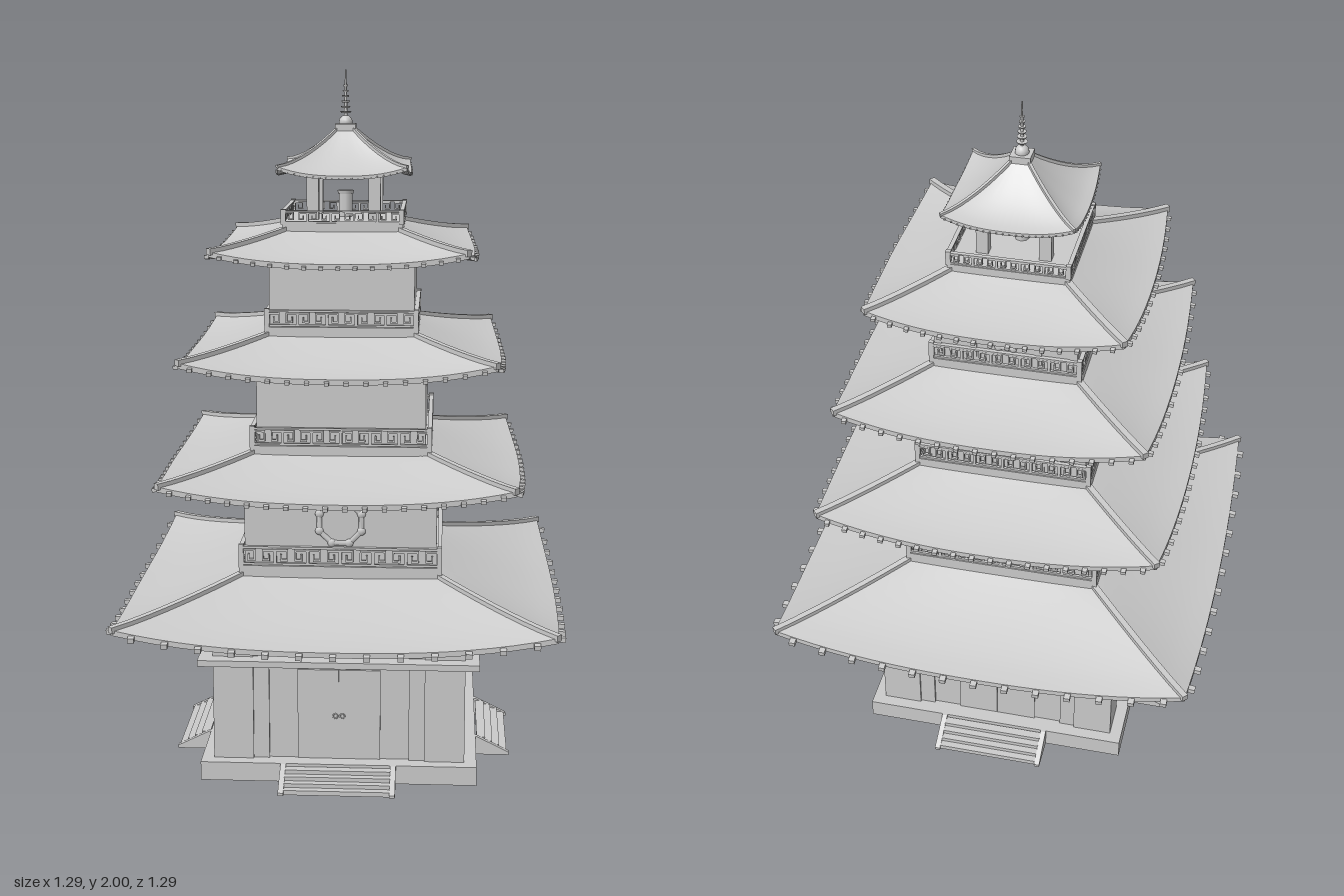
import * as THREE from 'three';
import { mergeGeometries, toCreasedNormals } from 'three/addons/utils/BufferGeometryUtils.js';

const mat = new THREE.MeshStandardMaterial({ color: 0xcccccc });

// Box given by its size and centre, optionally tilted about x
function box(w, h, d, x, y, z, tilt = 0) {
  return new THREE.BoxGeometry(w, h, d).rotateX(tilt).translate(x, y, z);
}

function part(parent, name, geos) {
  const mesh = new THREE.Mesh(geos.length > 1 ? mergeGeometries(geos) : geos[0], mat);
  mesh.name = name;
  parent.add(mesh);
  return mesh;
}

// Repeats a +z facing part on all four sides
function fourSides(parent, name, geos) {
  const group = new THREE.Group();
  group.name = name;
  const first = part(group, name + 'Side', geos);
  for (let k = 1; k < 4; k++) {
    const copy = first.clone();
    copy.rotation.y = k * Math.PI / 2;
    group.add(copy);
  }
  parent.add(group);
}

// Point on one roof slope: u runs along the eave, v from eave to top
function roofPoint(r, u, v) {
  const half = THREE.MathUtils.lerp(r.corner, r.top, v);
  const eaveY = r.low + r.lift * Math.abs(u) ** 2.6;
  return new THREE.Vector3(
    u * half,
    eaveY + (r.topY - eaveY) * v ** r.power,
    half + r.bulge * (1 - u * u) * (1 - v));
}

// Curved sheet with thickness, swept as closed cross-sections along the eave
function roofSlope(r) {
  const nu = 20, nv = 8, ring = 2 * (nv + 1), pos = [], idx = [];
  for (let i = 0; i <= nu; i++) {
    for (let j = 0; j < ring; j++) {
      const under = j > nv;
      const p = roofPoint(r, i / nu * 2 - 1, (under ? ring - 1 - j : j) / nv);
      pos.push(p.x, p.y - (under ? r.thick : 0), p.z);
    }
  }
  for (let i = 0; i < nu; i++) {
    for (let j = 0; j < ring; j++) {
      const a = i * ring + j, b = i * ring + (j + 1) % ring;
      idx.push(a, a + ring, b, b, a + ring, b + ring);
    }
  }
  const g = new THREE.BufferGeometry();
  g.setAttribute('position', new THREE.Float32BufferAttribute(pos, 3));
  g.setIndex(idx);
  return toCreasedNormals(g, 0.6);
}

// Square bar following the hip between two slopes
function hipRidge(r) {
  const geos = [], n = 8;
  for (let i = 0; i < n; i++) {
    const a = roofPoint(r, 1, i / n), b = roofPoint(r, 1, (i + 1) / n);
    const length = a.distanceTo(b) * 1.04;
    const turn = new THREE.Matrix4().lookAt(b, a, new THREE.Vector3(0, 1, 0));
    const c = a.add(b).multiplyScalar(0.5);
    geos.push(new THREE.BoxGeometry(r.ridge, r.ridge, length)
      .applyMatrix4(turn).translate(c.x, c.y, c.z));
  }
  return geos;
}

function addRoof(parent, r) {
  const roof = new THREE.Group();
  roof.name = 'roof';
  fourSides(roof, 'roofSlope', [roofSlope(r)]);
  fourSides(roof, 'hipRidge', hipRidge(r));
  // Short rafter tips peeping out under the eave
  const tips = [], s = r.rafter;
  for (let i = 0; i < r.count; i++) {
    const p = roofPoint(r, ((i + 0.5) / r.count * 2 - 1) * 0.98, 0);
    tips.push(box(s, s * 0.75, s * 2.4, p.x, p.y - r.thick * 0.65, p.z - s * 0.2, 0.12));
  }
  fourSides(roof, 'rafterTips', tips);
  parent.add(roof);
}

// Balustrade with a key-pattern fret
const FRET = [ // x, y, width, height inside one unit cell
  [0.05, 0.5, 0.1, 1], [0.4, 0.93, 0.8, 0.13], [0.75, 0.6, 0.1, 0.7],
  [0.55, 0.31, 0.45, 0.13], [0.38, 0.48, 0.1, 0.4], [0.53, 0.065, 0.94, 0.13],
];
function addRailing(parent, half, y0, y1, cells) {
  const h = y1 - y0, bar = h * 0.1, z = half - 0.006, geos = [];
  geos.push(box(half * 2, bar, 0.012, 0, y1 - bar / 2, z));
  geos.push(box(half * 2, bar, 0.012, 0, y0 + bar / 2, z));
  geos.push(box(0.014, h * 1.08, 0.014, half - 0.007, y0 + h * 0.54, z));
  const cw = (half * 2 - 0.02) / cells, fh = h - bar * 2.6;
  for (let i = 0; i < cells; i++) {
    for (const [fx, fy, fw, fhh] of FRET) {
      const x = -half + 0.01 + (i + (i % 2 ? 1 - fx : fx)) * cw;
      geos.push(box(fw * cw, fhh * fh, 0.008, x, y0 + bar * 1.3 + fy * fh, z));
    }
  }
  fourSides(parent, 'railing', geos);
}

// Flat octagonal window frame with beads at the corners
function roundWindow(parent, y, z, radius) {
  const geos = [new THREE.TorusGeometry(radius, radius * 0.13, 6, 8).rotateZ(Math.PI / 8)];
  for (let i = 0; i < 8; i++) {
    const a = (i + 0.5) * Math.PI / 4;
    geos.push(new THREE.SphereGeometry(radius * 0.19, 8, 6)
      .translate(Math.cos(a) * radius, Math.sin(a) * radius, 0));
  }
  const frame = part(parent, 'roundWindow', geos);
  frame.position.set(0, y, z);
  frame.scale.z = 0.5;
}

function addGroundFloor(parent) {
  const floor = new THREE.Group();
  floor.name = 'groundFloor';
  part(floor, 'platform', [box(0.79, 0.055, 0.79, 0, 0.0275, 0)]);
  // Open-backed steps between solid sloping cheeks
  const steps = [];
  for (let i = 0; i < 4; i++) {
    steps.push(box(0.3, 0.0135, 0.026, 0, 0.00675 + i * 0.0115, 0.475 - i * 0.021));
  }
  fourSides(floor, 'steps', steps);
  const cheek = new THREE.Shape(
    [[0.39, 0], [0.495, 0], [0.495, 0.008], [0.4, 0.055], [0.39, 0.055]]
      .map(p => new THREE.Vector2(...p)));
  fourSides(floor, 'stepCheeks', [-0.149, 0.165].map(x =>
    new THREE.ExtrudeGeometry(cheek, { depth: 0.016, bevelEnabled: false })
      .rotateY(-Math.PI / 2).translate(x, 0, 0)));
  // Walls, piers, beams and doors
  part(floor, 'walls', [box(0.69, 0.49, 0.69, 0, 0.3, 0)]);
  fourSides(floor, 'cornerPier', [box(0.115, 0.41, 0.115, 0.3025, 0.26, 0.3025)]);
  fourSides(floor, 'wallPosts', [-1, 1].map(s =>
    box(0.045, 0.36, 0.014, s * 0.2225, 0.235, 0.346)));
  part(floor, 'beltCourse', [box(0.8, 0.018, 0.8, 0, 0.353, 0)]);
  fourSides(floor, 'topBeam', [box(0.7, 0.045, 0.02, 0, 0.447, 0.345)]);
  const doors = [];
  for (const s of [-1, 1]) {
    doors.push(box(0.118, 0.268, 0.008, s * 0.0595, 0.189, 0.346));
    doors.push(new THREE.TorusGeometry(0.007, 0.002, 6, 12).translate(s * 0.01, 0.185, 0.352));
  }
  fourSides(floor, 'doors', doors);
  parent.add(floor);
}

export function createModel() {
  const model = new THREE.Group();
  model.name = 'pagoda';
  addGroundFloor(model);

  const roofs = [
    { corner: 0.605, bulge: 0.02, low: 0.472, lift: 0.046, top: 0.265, topY: 0.588, count: 13, rafter: 0.018 },
    { corner: 0.49, bulge: 0.025, low: 0.853, lift: 0.038, top: 0.235, topY: 0.938, count: 18, rafter: 0.014 },
    { corner: 0.435, bulge: 0.02, low: 1.186, lift: 0.038, top: 0.2, topY: 1.27, count: 16, rafter: 0.013 },
    { corner: 0.355, bulge: 0.02, low: 1.488, lift: 0.03, top: 0.158, topY: 1.56, count: 15, rafter: 0.012 },
  ];
  for (const r of roofs) addRoof(model, { power: 1.4, thick: 0.015, ridge: 0.018, ...r });
  addRoof(model, { corner: 0.182, bulge: 0.008, low: 1.712, lift: 0.025, top: 0.022, topY: 1.835,
    power: 1.6, thick: 0.01, ridge: 0.009, count: 20, rafter: 0.004 });

  // Upper storeys with balconies
  const storeys = [
    { half: 0.274, y0: 0.56, y1: 0.895, rail: 0.29, r0: 0.605, r1: 0.668, cells: 12 },
    { half: 0.24, y0: 0.91, y1: 1.225, rail: 0.258, r0: 0.95, r1: 1.008, cells: 12 },
    { half: 0.205, y0: 1.235, y1: 1.52, rail: 0.217, r0: 1.285, r1: 1.338, cells: 10 },
  ];
  storeys.forEach((s, i) => {
    const storey = new THREE.Group();
    storey.name = 'storey';
    part(storey, 'walls', [box(s.half * 2, s.y1 - s.y0, s.half * 2, 0, (s.y0 + s.y1) / 2, 0)]);
    part(storey, 'balcony', [box(s.rail * 2, 0.04, s.rail * 2, 0, s.r0 - 0.018, 0)]);
    addRailing(storey, s.rail, s.r0, s.r1, s.cells);
    // Low pilasters framing the back wall
    part(storey, 'pilasters', [-1, 1].flatMap(k => [0.45, 0.94].map(f =>
      box(s.half * 0.1, s.y1 - s.y0, 0.006, k * f * s.half, (s.y0 + s.y1) / 2, -s.half))));
    const y = s.r1 + 0.07 - i * 0.005, radius = 0.065 - i * 0.005;
    roundWindow(storey, y, -s.half, radius);
    if (i === 0) roundWindow(storey, y, s.half, radius);
    model.add(storey);
  });

  // Open belfry
  const belfry = new THREE.Group();
  belfry.name = 'belfry';
  part(belfry, 'deck', [box(0.34, 0.035, 0.34, 0, 1.565, 0)]);
  addRailing(belfry, 0.173, 1.575, 1.614, 10);
  fourSides(belfry, 'post', [box(0.034, 0.15, 0.034, 0.088, 1.645, 0.088)]);
  fourSides(belfry, 'lintel', [box(0.2, 0.02, 0.02, 0, 1.715, 0.088)]);
  part(belfry, 'bell', [
    new THREE.CylinderGeometry(0.02, 0.02, 0.08, 8).translate(0, 1.612, 0),
    new THREE.CylinderGeometry(0.024, 0.022, 0.01, 8).translate(0, 1.653, 0)]);
  model.add(belfry);

  // Finial with stacked rings
  const finial = [box(0.058, 0.02, 0.058, 0, 1.838, 0),
    new THREE.SphereGeometry(0.02, 12, 8).translate(0, 1.852, 0),
    new THREE.CylinderGeometry(0.002, 0.006, 0.15, 8).translate(0, 1.925, 0)];
  for (let i = 0; i < 6; i++) {
    const r = 0.016 - i * 0.0018;
    finial.push(new THREE.CylinderGeometry(r, r * 0.8, 0.005, 12).translate(0, 1.88 + i * 0.015, 0));
  }
  part(model, 'finial', finial);
  return model;
}
